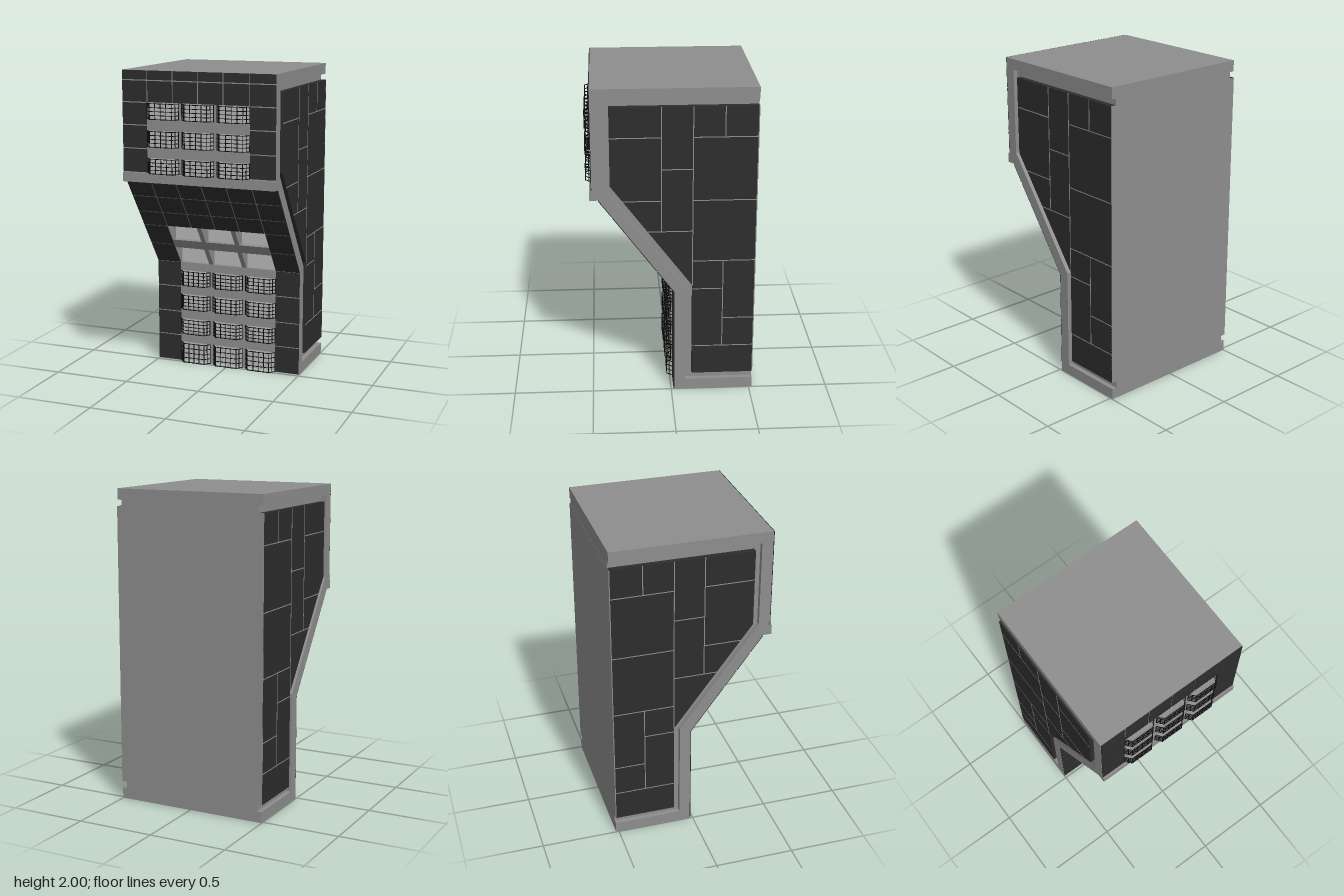
import * as THREE from 'three';
import { mergeGeometries } from 'three/addons/utils/BufferGeometryUtils.js';

const mat = (name, hex) => {
  const m = new THREE.MeshStandardMaterial({ color: hex });
  m.name = name;
  return m;
};

export function createModel() {
  const concrete = mat('concrete grey', 0x8e8e8e);
  const cladding = mat('dark cladding', 0x2d2d2d);
  const glass = mat('pale glass', 0xb8b8b8);
  const iron = mat('black iron', 0x0c0c0c);

  const model = new THREE.Group();
  model.name = 'building';

  const add = (name, geo, material, parent = model) => {
    const m = new THREE.Mesh(geo, material);
    m.name = name;
    parent.add(m);
    return m;
  };
  const box = (x0, x1, y0, y1, z0, z1) =>
    new THREE.BoxGeometry(x1 - x0, y1 - y0, z1 - z0)
      .translate((x0 + x1) / 2, (y0 + y1) / 2, (z0 + z1) / 2);
  // side profile of [z, y] points, swept from x0 to x1
  const sweep = (pts, x0, x1) =>
    new THREE.ExtrudeGeometry(new THREE.Shape(pts.map(p => new THREE.Vector2(...p))),
      { depth: x1 - x0, bevelEnabled: false }).rotateY(-Math.PI / 2).translate(x1, 0, 0);

  const BACK = -0.52, LOW = -0.02, HIGH = 0.48, W = 0.333;
  const outer = [[BACK, 0], [LOW, 0], [LOW, 0.69], [0.44, 1.31], [HIGH, 1.31], [HIGH, 2], [BACK, 2]];

  // core: solid flanks and a centre recessed behind the windows
  add('centreCore', sweep([[BACK, 0], [-0.045, 0], [-0.045, 0.84], [0.06, 0.84], [0.06, 0.98],
    [0.195, 0.98], [0.44, 1.31], [0.455, 1.31], [0.455, 1.81], [HIGH, 1.81], [HIGH, 2], [BACK, 2]], -W, W), concrete);
  add('backPlate', box(-0.504, 0.504, 0.115, 1.89, -0.521, -0.515), concrete);
  add('ledge', box(-0.5, 0.5, 1.31, 1.37, 0.44, 0.495), concrete);

  // seams on the side cladding: [z0, y0, z1, y1]
  const seams = [
    [-0.13, 0.735, -0.13, 1.89], [0.06, 1.1, 0.06, 1.89], [-0.32, 1.7, -0.32, 1.89], [-0.32, 0.31, -0.32, 0.9],
    [0.06, 1.7, 0.37, 1.7], [BACK, 1.7, -0.13, 1.7], [-0.13, 1.5, 0.06, 1.5], [0.06, 1.3, 0.295, 1.3],
    [BACK, 1.3, -0.13, 1.3], [-0.13, 1.1, 0.144, 1.1], [BACK, 0.9, -0.13, 0.9], [-0.32, 0.71, -0.13, 0.71],
    [BACK, 0.505, -0.32, 0.505], [BACK, 0.31, -0.13, 0.31],
  ];
  for (const s of [1, -1]) {
    const span = (pts, a, b) => (s > 0 ? sweep(pts, a, b) : sweep(pts, -b, -a));
    const side = s > 0 ? 'left' : 'right';
    add(side + 'Flank', span(outer, W, 0.47), concrete);
    // raised border, open at the back
    add(side + 'Frame', span([...outer, [BACK, 1.93], [0.41, 1.93], [0.41, 1.39],
      [-0.09, 0.715], [-0.09, 0.07], [BACK, 0.07]], 0.47, 0.5), concrete);
    add(side + 'Cladding', span([[BACK, 0.115], [-0.13, 0.115], [-0.13, 0.735],
      [0.37, 1.4], [0.37, 1.89], [BACK, 1.89]], 0.47, 0.504), cladding);
    const h = 0.003;
    add(side + 'Seams', mergeGeometries(seams.map(([z0, y0, z1, y1]) => {
      const v = z0 === z1;
      const a = 0.503, b = 0.505;
      return box(s > 0 ? a : -b, s > 0 ? b : -a, y0 - (v ? 0 : h), y1 + (v ? 0 : h),
        z0 - (v ? h : 0), z1 + (v ? h : 0));
    })), concrete);
  }

  // facade planes that carry thin cladding tiles
  const plane = (name, y, z, tilt = 0) => {
    const g = new THREE.Group();
    g.name = name;
    g.position.set(0, y, z);
    g.rotation.x = tilt;
    model.add(g);
    return g;
  };
  const tilt = Math.atan2(0.46, 0.62);
  const lower = plane('lowerFacade', 0, LOW);
  const slope = plane('slopingFacade', 0.69, LOW, tilt);
  const upper = plane('upperFacade', 0, HIGH);
  const tiles = (parent, xs, ys) => {
    const parts = [], g = 0.0035;
    for (let i = 0; i + 1 < xs.length; i++)
      for (let j = 0; j + 1 < ys.length; j++)
        parts.push(box(xs[i] + g, xs[i + 1] - g, ys[j] + g, ys[j + 1] - g, -0.002, 0.005));
    add('tiles', mergeGeometries(parts), cladding, parent);
  };
  const onSlope = ys => ys.map(y => (y - 0.69) / Math.cos(tilt));
  for (const xs of [[-0.502, -W], [W, 0.502]]) {
    tiles(lower, xs, [0, 0.18, 0.345, 0.52, 0.69]);
    tiles(slope, xs, onSlope([0.69, 0.835, 0.98]));
    tiles(upper, xs, [1.37, 1.52, 1.665, 1.805]);
  }
  const columns = [-0.502, -W, -0.165, 0, 0.165, W, 0.502];
  tiles(slope, columns, onSlope([0.98, 1.085, 1.2, 1.31]));
  tiles(upper, columns, [1.805, 1.94, 2.003]);

  // one bay-shaped window grille, bottom at y = 0
  const bar = (a, b) => {
    const d = new THREE.Vector3().subVectors(b, a);
    const g = new THREE.BoxGeometry(0.004, 0.004, d.length() + 0.003);
    g.applyQuaternion(new THREE.Quaternion().setFromUnitVectors(new THREE.Vector3(0, 0, 1), d.clone().normalize()));
    return g.translate((a.x + b.x) / 2, (a.y + b.y) / 2, (a.z + b.z) / 2);
  };
  const grille = height => {
    const plan = [[-0.104, 0], [-0.073, 0.037], [0.073, 0.037], [0.104, 0]];
    const parts = [];
    for (let r = 0; r < 5; r++) {
      const y = 0.002 + (height - 0.004) * r / 4;
      for (let i = 0; i < 3; i++)
        parts.push(bar(new THREE.Vector3(plan[i][0], y, plan[i][1]), new THREE.Vector3(plan[i + 1][0], y, plan[i + 1][1])));
    }
    const posts = [[-0.104, 0.002], [-0.0885, 0.0185], [0.0885, 0.0185], [0.104, 0.002]];
    for (let i = 0; i <= 4; i++) posts.push([-0.073 + 0.0365 * i, 0.037]);
    for (const [x, z] of posts) parts.push(bar(new THREE.Vector3(x, 0, z), new THREE.Vector3(x, height, z)));
    return mergeGeometries(parts);
  };

  // window rows: glass, bands, mullions and grilles
  const centres = [-0.23, 0, 0.23];
  const windows = (parent, rows, top) => {
    rows.forEach(([y0, y1], i) => {
      const next = i + 1 < rows.length ? rows[i + 1][0] : top;
      add('band', box(-W, W, y1, next, -0.025, 0.003), concrete, parent);
      add('glass', box(-W, W, y0, y1, -0.026, -0.02), glass, parent);
      for (const x of [-0.116, 0.116]) add('mullion', box(x - 0.012, x + 0.012, y0, y1, -0.025, 0), concrete, parent);
      for (const x of centres) add('grille', grille(y1 - y0).translate(x, y0, 0), iron, parent);
    });
  };
  windows(lower, [[0, 0.135], [0.2, 0.3], [0.37, 0.47], [0.535, 0.635]], 0.69);
  windows(upper, [[1.37, 1.465], [1.535, 1.635], [1.705, 1.805]], 1.81);

  // open windows within the slope: upright glass behind a floor slab and fins
  add('slopeGlassLower', box(-W, W, 0.69, 0.81, -0.046, -0.04), glass);
  add('slopeGlassUpper', box(-W, W, 0.87, 0.98, 0.058, 0.064), glass);
  add('slopeSlab', sweep([[-0.045, 0.81], [0.069, 0.81], [0.1135, 0.87], [-0.045, 0.87]], -W, W), concrete);
  for (const x of [-0.116, 0.116])
    add('slopeFin', sweep([[-0.045, 0.69], [LOW, 0.69], [0.195, 0.98], [-0.045, 0.98]], x - 0.015, x + 0.015), concrete);

  return model;
}
